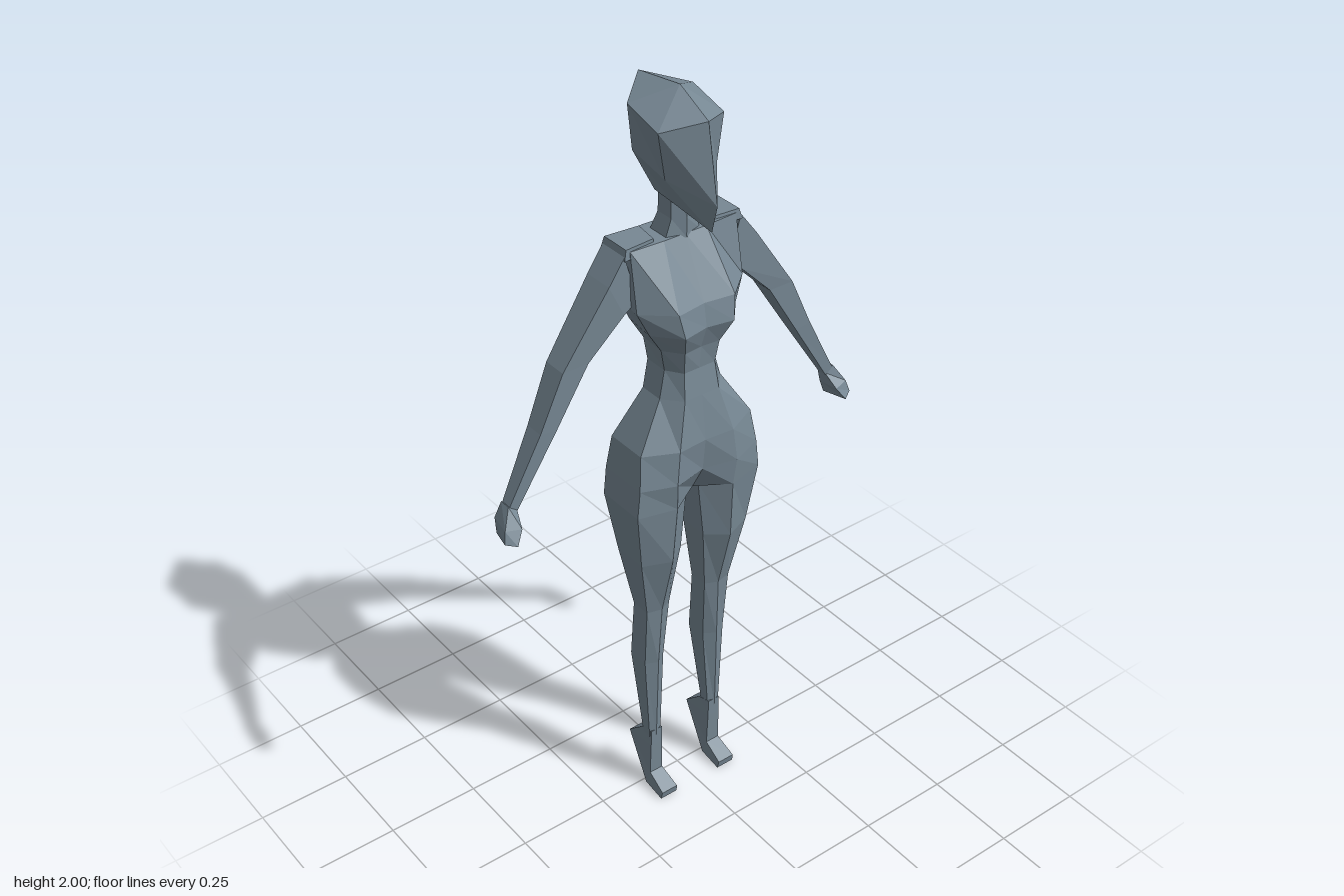
import * as THREE from 'three';

const slate = new THREE.MeshStandardMaterial({ color: 0x778894 });
slate.name = 'slate grey';

// Faceted skin through rings of [x, y, z] points, listed from top to bottom,
// each ring counterclockwise seen from above. Ends close on a centre point.
function loft(name, rings, apex) {
  const pos = [];
  const tri = (a, b, c) => pos.push(...a, ...b, ...c);
  const centre = (r) => [0, 1, 2].map((k) => r.reduce((s, p) => s + p[k], 0) / r.length);
  const n = rings[0].length;
  const last = rings[rings.length - 1];
  const top = apex || centre(rings[0]);
  const bottom = centre(last);
  for (let i = 0; i < n; i++) {
    const j = (i + 1) % n;
    for (let k = 0; k + 1 < rings.length; k++) {
      const a = rings[k], b = rings[k + 1];
      tri(a[i], b[i], b[j]);
      tri(a[i], b[j], a[j]);
    }
    tri(top, rings[0][i], rings[0][j]);
    tri(bottom, last[j], last[i]);
  }
  const g = new THREE.BufferGeometry();
  g.setAttribute('position', new THREE.Float32BufferAttribute(pos, 3));
  g.computeVertexNormals();
  const mesh = new THREE.Mesh(g, slate);
  mesh.name = name;
  return mesh;
}

// Full ring from its left half, front centre to back centre
const whole = (half) => [
  ...half,
  ...half.slice(1, -1).reverse().map(([x, y, z]) => [-x, y, z]),
];
// Level ring from [x, z] pairs
const level = (y, pts) => pts.map(([x, z]) => [x, y, z]);
// Mirror rings to the right, keeping the winding
const flip = (rings) => rings.map((r) => r.map(([x, y, z]) => [-x, y, z]).reverse());

export function createModel() {
  const model = new THREE.Group();
  model.name = 'figure';

  const pair = (name, rings) => {
    model.add(loft('left' + name, rings), loft('right' + name, flip(rings)));
  };

  // Head: ridged face, pointed at the back
  model.add(loft('head', [
    [[0, 1.95, 0.11], [0.09, 1.925, 0.05], [0.09, 1.955, -0.06], [0, 1.98, -0.14]],
    [[0, 1.76, 0.143], [0.072, 1.81, 0.05], [0.082, 1.845, -0.055], [0, 1.86, -0.14]],
    [[0, 1.69, 0.125], [0.035, 1.735, 0.03], [0.04, 1.745, -0.03], [0, 1.75, -0.05]],
  ].map(whole), [0, 2, 0.01]));

  // Neck
  model.add(loft('neck', [
    level(1.78, [[0, 0.04], [0.032, 0.02], [0.032, -0.025], [0, -0.04]]),
    level(1.69, [[0, 0.035], [0.032, 0.02], [0.032, -0.03], [0, -0.04]]),
    level(1.64, [[0, 0.035], [0.05, 0.02], [0.05, -0.04], [0, -0.06]]),
  ].map(whole)));

  // Torso from shoulders to crotch
  model.add(loft('torso', [
    level(1.648, [[0, 0.03], [0.06, 0.03], [0.15, 0.025], [0.15, -0.055], [0.06, -0.062], [0, -0.06]]),
    level(1.5, [[0, 0.1], [0.08, 0.112], [0.152, 0.05], [0.14, -0.04], [0.065, -0.086], [0, -0.065]]),
    level(1.44, [[0, 0.11], [0.07, 0.123], [0.125, 0.06], [0.115, -0.03], [0.055, -0.07], [0, -0.055]]),
    level(1.38, [[0, 0.09], [0.05, 0.095], [0.085, 0.05], [0.08, -0.025], [0.04, -0.05], [0, -0.045]]),
    level(1.32, [[0, 0.085], [0.045, 0.085], [0.072, 0.045], [0.072, -0.02], [0.035, -0.038], [0, -0.035]]),
    level(1.25, [[0, 0.095], [0.05, 0.095], [0.09, 0.05], [0.09, -0.015], [0.04, -0.035], [0, -0.03]]),
    level(1.13, [[0, 0.11], [0.08, 0.116], [0.165, 0.075], [0.165, -0.04], [0.08, -0.078], [0, -0.055]]),
    level(1.04, [[0, 0.1], [0.09, 0.12], [0.177, 0.087], [0.177, -0.05], [0.09, -0.108], [0, -0.075]]),
    level(0.965, [[0, 0.06], [0.085, 0.112], [0.185, 0.087], [0.185, -0.05], [0.09, -0.07], [0, -0.03]]),
  ].map(whole)));

  // Legs: front, outer front, outer back, back, inner back, inner front
  pair('Leg', [
    level(0.965, [[0.085, 0.112], [0.185, 0.087], [0.185, -0.05], [0.09, -0.07], [0.018, -0.03], [0.018, 0.06]]),
    level(0.8, [[0.09, 0.1], [0.163, 0.07], [0.163, -0.027], [0.095, -0.05], [0.035, -0.02], [0.035, 0.06]]),
    level(0.62, [[0.09, 0.055], [0.13, 0.045], [0.13, -0.01], [0.09, -0.027], [0.055, -0.01], [0.057, 0.04]]),
    level(0.44, [[0.095, 0.045], [0.127, 0.03], [0.127, -0.03], [0.095, -0.055], [0.062, -0.03], [0.065, 0.025]]),
    level(0.18, [[0.098, 0.037], [0.115, 0.03], [0.115, 0.003], [0.1, -0.004], [0.08, 0.003], [0.08, 0.03]]),
  ]);

  // Feet on tiptoe: each ring is a [y, z] front edge, a back edge and half widths
  const footRing = ([yf, zf, wf, yb, zb, wb]) => [
    [0.096 + wf, yf, zf], [0.096 + wb, yb, zb], [0.096 - wb, yb, zb], [0.096 - wf, yf, zf],
  ];
  pair('Foot', [
    [0.2, 0.036, 0.017, 0.19, -0.004, 0.018],
    [0.15, 0.035, 0.018, 0.145, -0.055, 0.022],
    [0.05, 0.032, 0.02, 0.01, 0.02, 0.025],
    [0.022, 0.092, 0.024, 0, 0.088, 0.026],
  ].map(footRing));

  // Arms: each ring has an outer edge, an inner edge and its depth range
  const armRing = ([xo, yo, xi, yi, zf, zb]) => [
    [xo, yo, zf], [xo, yo, zb], [xi, yi, zb], [xi, yi, zf],
  ];
  pair('Arm', [
    [0.165, 1.64, 0.13, 1.52, 0.025, -0.058],
    [0.21, 1.58, 0.17, 1.495, 0.027, -0.055],
    [0.335, 1.4, 0.265, 1.4, 0.018, -0.047],
    [0.4, 1.26, 0.355, 1.255, 0.015, -0.037],
    [0.49, 1.09, 0.468, 1.075, 0.008, -0.022],
  ].map(armRing));

  // Hands turned slightly forward
  pair('Hand', [
    [[0.492, 1.095, 0.008], [0.492, 1.095, -0.022], [0.468, 1.08, -0.024], [0.468, 1.08, 0.005]],
    [[0.518, 1.05, 0.03], [0.51, 1.055, -0.026], [0.475, 1.04, -0.02], [0.478, 1.045, 0.04]],
    [[0.526, 1.02, 0.038], [0.512, 1.015, -0.018], [0.485, 1.008, -0.016], [0.5, 1.012, 0.053]],
  ]);

  // Flat shoulder caps
  pair('ShoulderCap', [
    level(1.656, [[0.16, 0.024], [0.16, -0.058], [0.07, -0.05], [0.08, 0.018]]),
    level(1.63, [[0.167, 0.028], [0.167, -0.062], [0.07, -0.05], [0.08, 0.02]]),
  ]);

  return model;
}
